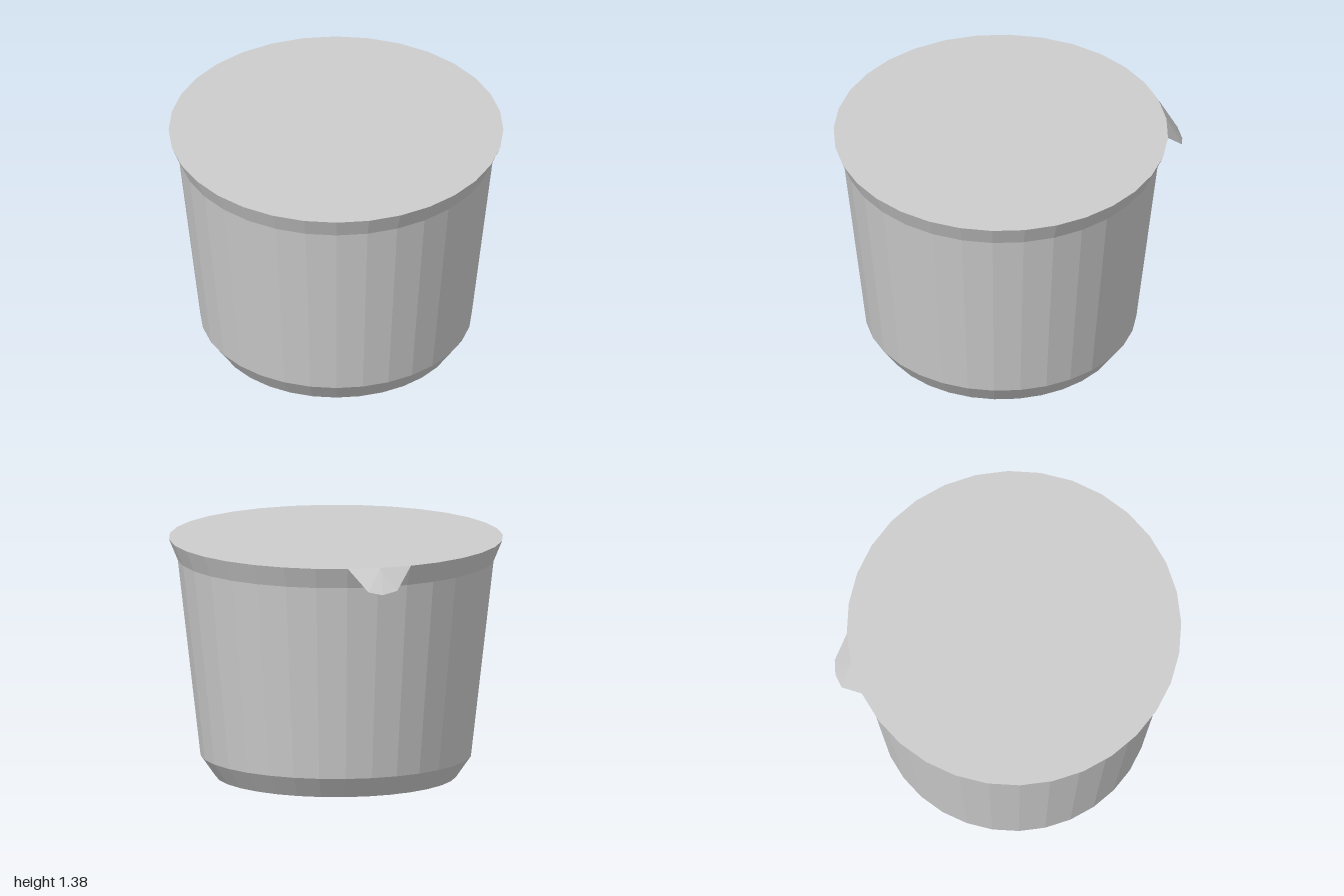
import * as THREE from 'three';

export function createModel() {
  const group = new THREE.Group();
  const SIDES = 32, TOP = 1.378, RIM = 0.955, CENTRE_Z = 0.045;

  const grey = new THREE.MeshStandardMaterial({ color: 0xcccccc, flatShading: true });
  grey.name = 'light grey';
  grey.side = THREE.DoubleSide;

  const add = (name, geometry, y = 0) => {
    const mesh = new THREE.Mesh(geometry, grey);
    mesh.name = name;
    mesh.position.set(0, y, CENTRE_Z);
    group.add(mesh);
    return mesh;
  };

  // Tapered cup: bevelled foot, straight wall, flared rim
  const profile = [[0.69, 0], [0.775, 0.122], [0.905, 1.257], [RIM, TOP]]
    .map(([r, y]) => new THREE.Vector2(r, y));
  add('cupWall', new THREE.LatheGeometry(profile, SIDES));

  // Flat base and sealed lid
  add('cupBase', new THREE.CircleGeometry(0.69, SIDES).rotateX(Math.PI / 2));
  add('lid', new THREE.CircleGeometry(RIM, SIDES).rotateX(-Math.PI / 2), TOP);

  // Pull tab bent down from the back of the lid, fanned from the middle of its fold
  const a = (Math.PI * 2) / SIDES;
  const cornerX = RIM * Math.sin(a), cornerZ = -RIM * Math.cos(a);
  const points = [
    [0, TOP, -RIM],
    [cornerX, TOP, cornerZ],
    [0.09, 1.255, -1.03],
    [0.01, 1.237, -1.045],
    [-0.08, 1.255, -1.03],
    [-cornerX, TOP, cornerZ],
  ];
  const tab = new THREE.BufferGeometry();
  tab.setAttribute('position', new THREE.Float32BufferAttribute(points.flat(), 3));
  tab.setIndex([0, 1, 2, 0, 2, 3, 0, 3, 4, 0, 4, 5]);
  tab.computeVertexNormals();
  add('pullTab', tab);

  return group;
}
